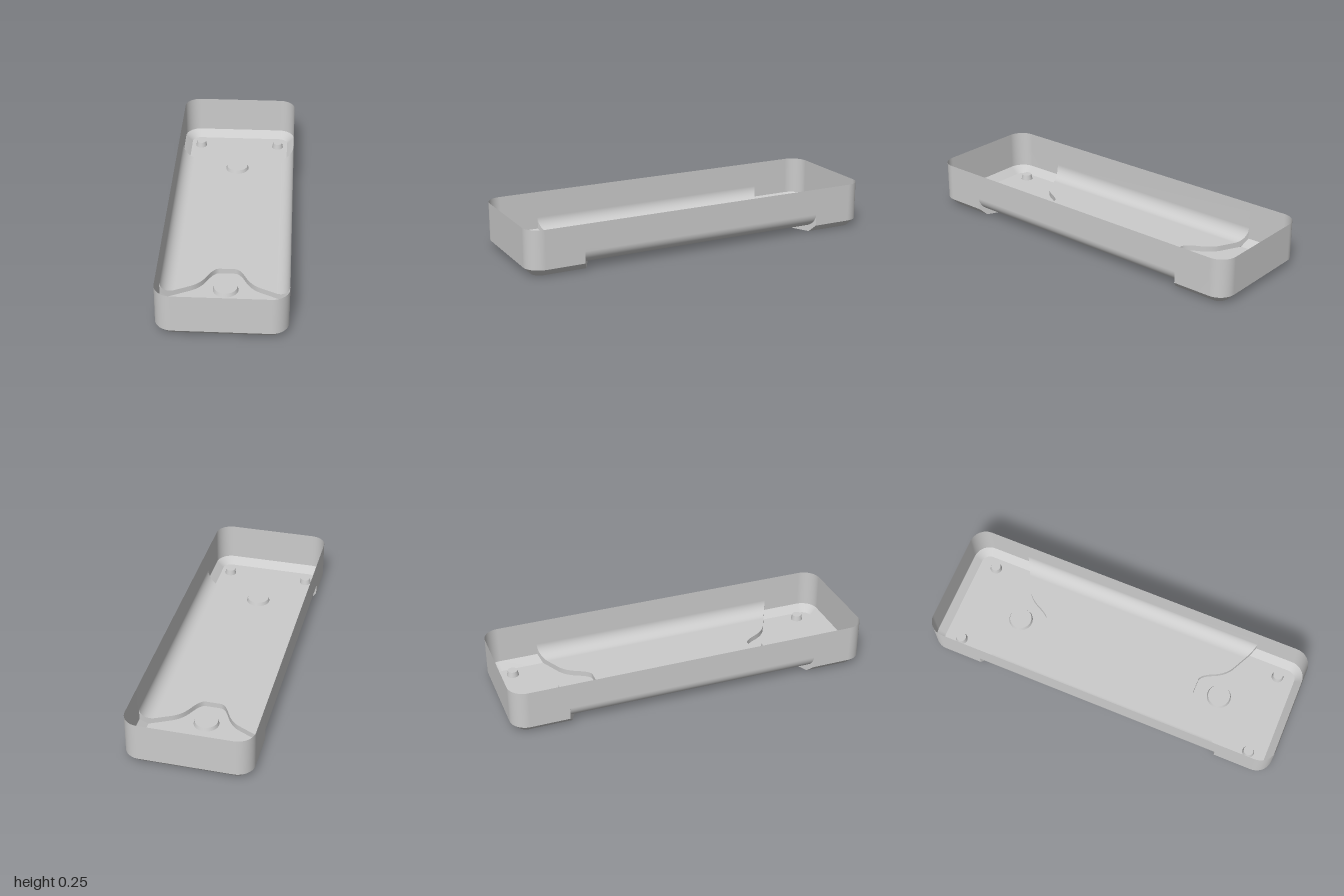
import * as THREE from 'three';

const W = 0.333, L = 1, H = 0.25;        // half width, half length, height
const CORNER = 0.09, CHAMFER = 0.04;
const FILLET = 0.075, MID_Y = 0.03;      // raised middle section
const EDGE_Z = 0.697;                    // where the step meets the side wall

const material = new THREE.MeshStandardMaterial({ color: 0xcccccc, side: THREE.DoubleSide });

function addMesh(parent, name, geometry) {
  const mesh = new THREE.Mesh(geometry, material);
  mesh.name = name;
  parent.add(mesh);
  return mesh;
}

// Smooth surface stretched between two matching rows of points
function ribbon(rowA, rowB) {
  const n = rowA.length, index = [];
  for (let i = 0; i < n - 1; i++) index.push(i, n + i, i + 1, i + 1, n + i, n + i + 1);
  const geometry = new THREE.BufferGeometry().setFromPoints([...rowA, ...rowB]);
  geometry.setIndex(index);
  geometry.computeVertexNormals();
  return geometry;
}

const stepZ = x => EDGE_Z - 0.5 * (W - x);   // straight outer part of the step line

// U-shaped outline of one end, running from +x to -x
function endOutline(inset) {
  const w = W - inset, l = L - inset, r = CORNER - inset;
  const half = [new THREE.Vector2(w, stepZ(w))];
  for (let i = 0; i <= 12; i++) {
    const a = i / 12 * Math.PI / 2;
    half.push(new THREE.Vector2(w - r + r * Math.cos(a), l - r + r * Math.sin(a)));
  }
  return [...half, ...half.slice().reverse().map(p => new THREE.Vector2(-p.x, p.y))];
}

// Step line across the model: x, mid-section height y, and z, from +x to -x
function stepLine() {
  const half = [];
  for (let i = 0; i <= 16; i++) {
    const a = i / 16 * Math.PI / 2;
    const x = W - FILLET + FILLET * Math.cos(a);
    half.push(new THREE.Vector3(x, MID_Y + FILLET - FILLET * Math.sin(a), stepZ(x)));
  }
  const path = new THREE.Path();
  path.moveTo(0.18, stepZ(0.18));
  path.quadraticCurveTo(0.13, 0.595, 0.1, 0.53);
  path.quadraticCurveTo(0.069, 0.463, 0.04, 0.463);
  for (const p of path.getPoints(10)) half.push(new THREE.Vector3(p.x, MID_Y, p.y));
  return [...half, ...half.slice().reverse().map(p => new THREE.Vector3(-p.x, p.y, p.z))];
}

const bosses = [
  { name: 'largeBoss', x: 0, z: 0.603, r: 0.067, top: 0.061, h: 0.02 },
  { name: 'smallBossLeft', x: 0.235, z: 0.865, r: 0.033, top: 0.027, h: 0.03 },
  { name: 'smallBossRight', x: -0.235, z: 0.865, r: 0.033, top: 0.027, h: 0.03 },
];

function createEnd(line) {
  const end = new THREE.Group();
  const outer = endOutline(0), inner = endOutline(CHAMFER);
  const at = (points, y) => points.map(p => new THREE.Vector3(p.x, y, p.y));

  addMesh(end, 'endWall', ribbon(at(outer, CHAMFER), at(outer, H)));
  addMesh(end, 'chamfer', ribbon(at(inner, 0), at(outer, CHAMFER)));

  // Step between the low end floor and the raised middle
  const foot = line.map(p => new THREE.Vector3(p.x, Math.max(0, Math.abs(p.x) - W + CHAMFER), p.z));
  addMesh(end, 'stepWall', ribbon(line, foot));

  // Floor with openings under the hollow bosses
  const edge = line.filter(p => Math.abs(p.x) < W - CHAMFER - 0.001).reverse();
  const floor = new THREE.Shape([...inner, ...edge.map(p => new THREE.Vector2(p.x, p.z))]);
  for (const b of bosses) {
    floor.holes.push(new THREE.Path().absarc(b.x, b.z, b.r, 0, Math.PI * 2, true));
  }
  addMesh(end, 'endFloor', new THREE.ShapeGeometry(floor, 16).rotateX(Math.PI / 2));

  // Hollow bosses, open from below
  for (const b of bosses) {
    const boss = new THREE.Group();
    boss.name = b.name;
    boss.position.set(b.x, 0, b.z);
    addMesh(boss, 'bossSide',
      new THREE.CylinderGeometry(b.top, b.r, b.h, 32, 1, true).translate(0, b.h / 2, 0));
    addMesh(boss, 'bossTop',
      new THREE.CircleGeometry(b.top, 32).rotateX(-Math.PI / 2).translate(0, b.h, 0));
    end.add(boss);
  }
  return end;
}

export function createModel() {
  const model = new THREE.Group();
  model.name = 'tray';
  const line = stepLine();

  // Middle section: side walls rounding into the raised floor
  const profile = [
    new THREE.Vector3(W, H, EDGE_Z), ...line, new THREE.Vector3(-W, H, EDGE_Z),
  ];
  const back = profile.map(p => new THREE.Vector3(p.x, p.y, -p.z));
  addMesh(model, 'middleSection', ribbon(back, profile));

  // Two identical ends
  ['frontEnd', 'backEnd'].forEach((name, i) => {
    const end = createEnd(line);
    end.name = name;
    end.rotation.y = i * Math.PI;
    model.add(end);
  });
  return model;
}
